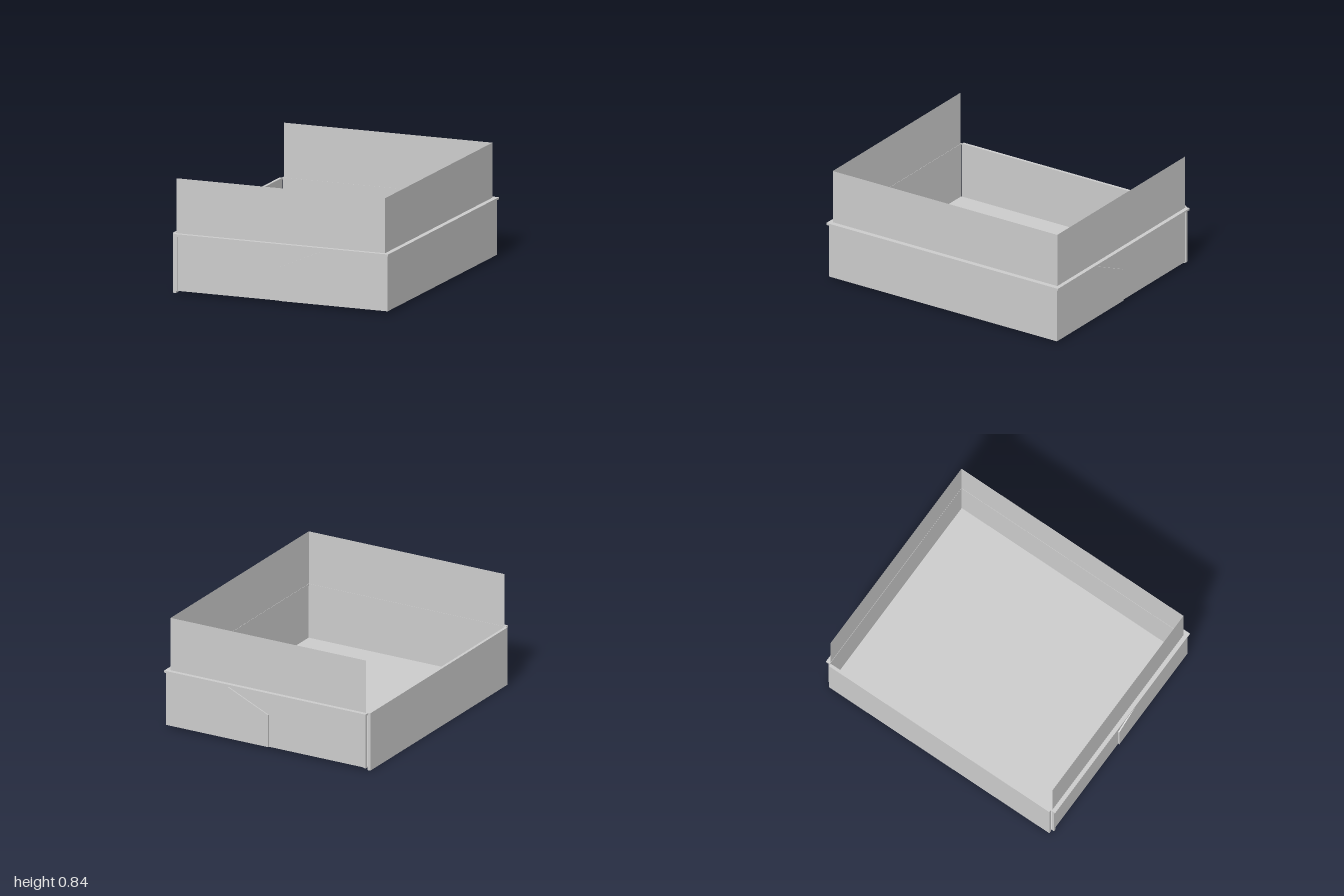
import * as THREE from 'three';

export function createModel() {
  const model = new THREE.Group();
  const solid = new THREE.MeshStandardMaterial({ color: 0xcccccc, flatShading: true });
  const sheet = new THREE.MeshStandardMaterial({ color: 0xcccccc, side: THREE.DoubleSide });

  function add(name, geometry, material = solid) {
    const mesh = new THREE.Mesh(geometry, material);
    mesh.name = name;
    model.add(mesh);
    return mesh;
  }

  // Box given by its lower and upper limits on each axis
  function box(name, x0, x1, y0, y1, z0, z1) {
    const mesh = add(name, new THREE.BoxGeometry(x1 - x0, y1 - y0, z1 - z0));
    mesh.position.set((x0 + x1) / 2, (y0 + y1) / 2, (z0 + z1) / 2);
  }

  // Outline in the x-y plane, extruded from z0 to z1
  function plate(name, points, z0, z1) {
    const shape = new THREE.Shape(points.map(([x, y]) => new THREE.Vector2(x, y)));
    const geometry = new THREE.ExtrudeGeometry(shape, { depth: z1 - z0, bevelEnabled: false });
    add(name, geometry.translate(0, 0, z0));
  }

  const inner = 0.967, recess = 0.975, outer = 0.985;
  const back = -0.82, front = 0.832;

  // Floor, end wall and drop gate
  box('floor', back, 0.805, 0.02, 0.026, -inner, inner);
  box('endWall', 0.805, front, 0.02, 0.425, -outer, outer);
  box('dropGate', -0.845, -0.823, 0, 0.44, -0.962, 0.962);

  // Raised skin of a side wall: post, top strip and the slanted panel
  const skin = [
    [back, 0.02], [-0.803, 0.02], [-0.803, 0.415], [0.325, 0.415], [-0.012, 0.265],
    [-0.012, 0.02], [0.805, 0.02], [0.805, 0.425], [back, 0.425],
  ];

  for (const side of [-1, 1]) {
    const span = (a, b) => (side > 0 ? [a, b] : [-b, -a]);
    const label = side > 0 ? 'front' : 'rear';
    box(label + 'Wall', back, 0.805, 0.02, 0.425, ...span(inner, recess));
    plate(label + 'WallSkin', skin, ...span(recess, outer));
    box(label + 'Rim', -0.828, 0.842, 0.425, 0.44, ...span(inner, 1));

    // Thin upright extension board above the rim
    const board = add(label + 'Board', new THREE.PlaneGeometry(1.62, 0.402), sheet);
    board.position.set(-0.005, 0.641, side * 0.969);
  }

  // Rim and extension board over the end wall
  box('endRim', 0.803, 0.842, 0.425, 0.44, -inner, inner);
  const endBoard = add('endBoard', new THREE.PlaneGeometry(1.938, 0.402), sheet);
  endBoard.rotation.y = Math.PI / 2;
  endBoard.position.set(0.805, 0.641, 0);

  return model;
}
